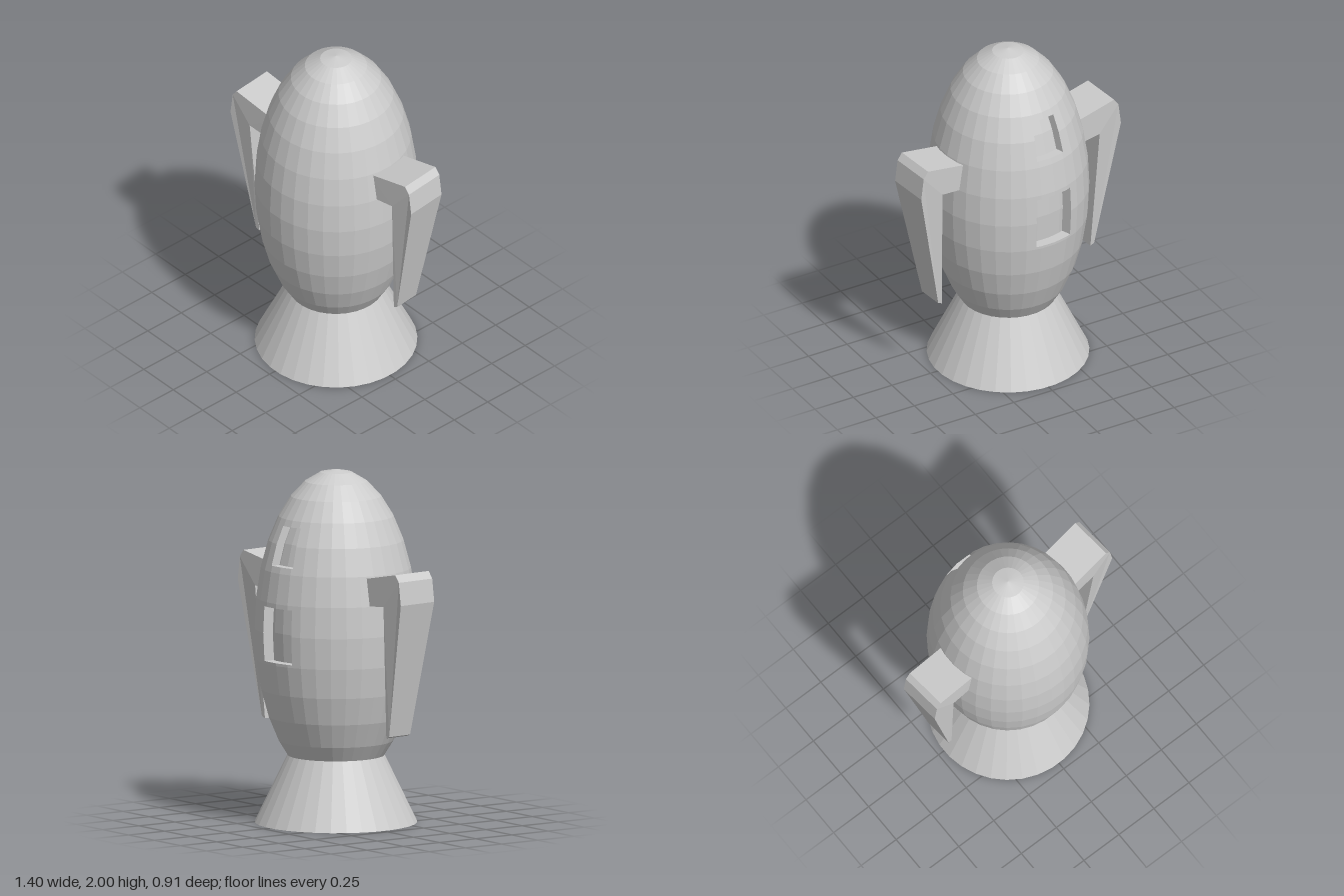
import * as THREE from 'three';

const SEGMENTS = 32, RINGS = 16;
const RADIUS = 0.457, HALF_HEIGHT = 0.9, CENTRE_Y = 1.1;
const STEP = (Math.PI * 2) / SEGMENTS;

// Recessed windows on the back: half angle, bottom, top and depth
const WINDOWS = [
  { half: 0.265, bottom: 0.94, top: 1.25, depth: 0.06 },
  { half: 0.22, bottom: 1.48, top: 1.7, depth: 0.05 },
];

const material = new THREE.MeshStandardMaterial({ color: 0xcccccc, flatShading: true });
const hullMaterial = new THREE.MeshStandardMaterial({
  color: 0xcccccc, flatShading: true, side: THREE.DoubleSide,
});

function addMesh(parent, name, geometry, mat = material) {
  const mesh = new THREE.Mesh(geometry, mat);
  mesh.name = name;
  parent.add(mesh);
  return mesh;
}

const ringY = (k) => CENTRE_Y + HALF_HEIGHT * Math.cos((k * Math.PI) / RINGS);
const ringRadius = (k) => RADIUS * Math.sin((k * Math.PI) / RINGS);

// Radius of the faceted hull at a height, straight between its rings
function hullRadius(y) {
  const c = THREE.MathUtils.clamp((y - CENTRE_Y) / HALF_HEIGHT, -1, 1);
  const k = Math.min(RINGS - 1, Math.floor((Math.acos(c) / Math.PI) * RINGS));
  const t = (y - ringY(k)) / (ringY(k + 1) - ringY(k));
  return THREE.MathUtils.lerp(ringRadius(k), ringRadius(k + 1), t);
}

// Point on the faceted hull, sunk inward by a depth
function hullPoint(angle, y, sink) {
  const inFacet = angle - Math.floor(angle / STEP + 1e-6) * STEP - STEP / 2;
  const r = Math.max(0, (hullRadius(y) * Math.cos(STEP / 2)) / Math.cos(inFacet) - sink);
  return [r * Math.sin(angle), y, r * Math.cos(angle)];
}

// Egg-shaped hull as a grid whose window cells are sunk and walled in
function hullGeometry() {
  const angles = [], heights = [];
  for (let i = 0; i <= SEGMENTS; i++) angles.push(i * STEP);
  for (let k = 0; k <= RINGS; k++) heights.push(ringY(k));
  for (const w of WINDOWS) {
    angles.push(Math.PI - w.half, Math.PI + w.half);
    heights.push(w.bottom, w.top);
  }
  angles.sort((a, b) => a - b);
  heights.sort((a, b) => a - b);

  const sinkOf = (i, j) => {
    const a = (angles[i] + angles[i + 1]) / 2;
    const y = (heights[j] + heights[j + 1]) / 2;
    const w = WINDOWS.find((o) => Math.abs(a - Math.PI) < o.half && y > o.bottom && y < o.top);
    return w ? w.depth : 0;
  };
  const positions = [];
  const quad = (a, b, c, d) => positions.push(...a, ...b, ...c, ...a, ...c, ...d);

  for (let i = 0; i < angles.length - 1; i++) {
    for (let j = 0; j < heights.length - 1; j++) {
      const [a0, a1, y0, y1] = [angles[i], angles[i + 1], heights[j], heights[j + 1]];
      const s = sinkOf(i, j);
      quad(hullPoint(a0, y0, s), hullPoint(a1, y0, s), hullPoint(a1, y1, s), hullPoint(a0, y1, s));
      // Walls where the neighbouring cell has another depth
      const side = i + 2 < angles.length ? sinkOf(i + 1, j) : s;
      const above = j + 2 < heights.length ? sinkOf(i, j + 1) : s;
      if (side !== s)
        quad(hullPoint(a1, y0, s), hullPoint(a1, y0, side), hullPoint(a1, y1, side), hullPoint(a1, y1, s));
      if (above !== s)
        quad(hullPoint(a0, y1, s), hullPoint(a1, y1, s), hullPoint(a1, y1, above), hullPoint(a0, y1, above));
    }
  }
  const geometry = new THREE.BufferGeometry();
  geometry.setAttribute('position', new THREE.Float32BufferAttribute(positions, 3));
  geometry.computeVertexNormals();
  return geometry;
}

// Bent fin: a short arm and a leg that narrows downward
function finGeometry() {
  const width = 0.25, footWidth = 0.155, footY = 0.535, kneeY = 1.28;
  const profile = [
    [0.36, 1.27], [0.36, 1.425], [0.645, 1.48], [0.675, 1.44], [0.692, 1.31],
    [0.54, 0.545], [0.515, footY], [0.545, 1.29],
  ].map(([x, y]) => new THREE.Vector2(x, y));
  const geometry = new THREE.ExtrudeGeometry(new THREE.Shape(profile), {
    depth: width, bevelEnabled: false,
  });
  geometry.translate(0, 0, -width / 2);
  const p = geometry.attributes.position;
  for (let i = 0; i < p.count; i++) {
    const t = THREE.MathUtils.clamp((p.getY(i) - footY) / (kneeY - footY), 0, 1);
    p.setZ(i, p.getZ(i) * THREE.MathUtils.lerp(footWidth / width, 1, t));
  }
  geometry.computeVertexNormals();
  return geometry;
}

export function createModel() {
  const model = new THREE.Group();
  model.name = 'rocket';
  const rocket = new THREE.Group();
  rocket.name = 'rocketBody';
  rocket.rotation.y = 0.1;
  rocket.position.x = -0.004;
  model.add(rocket);

  addMesh(rocket, 'hull', hullGeometry(), hullMaterial);

  // Hollow flared nozzle
  const nozzle = [[0.215, 0.38], [0.4, 0], [0.457, 0], [0.273, 0.38]]
    .map(([x, y]) => new THREE.Vector2(x, y));
  addMesh(rocket, 'nozzle', new THREE.LatheGeometry(nozzle, SEGMENTS));

  // Two opposite fins
  const fin = finGeometry();
  addMesh(rocket, 'leftFin', fin);
  addMesh(rocket, 'rightFin', fin).rotation.y = Math.PI;

  return model;
}
